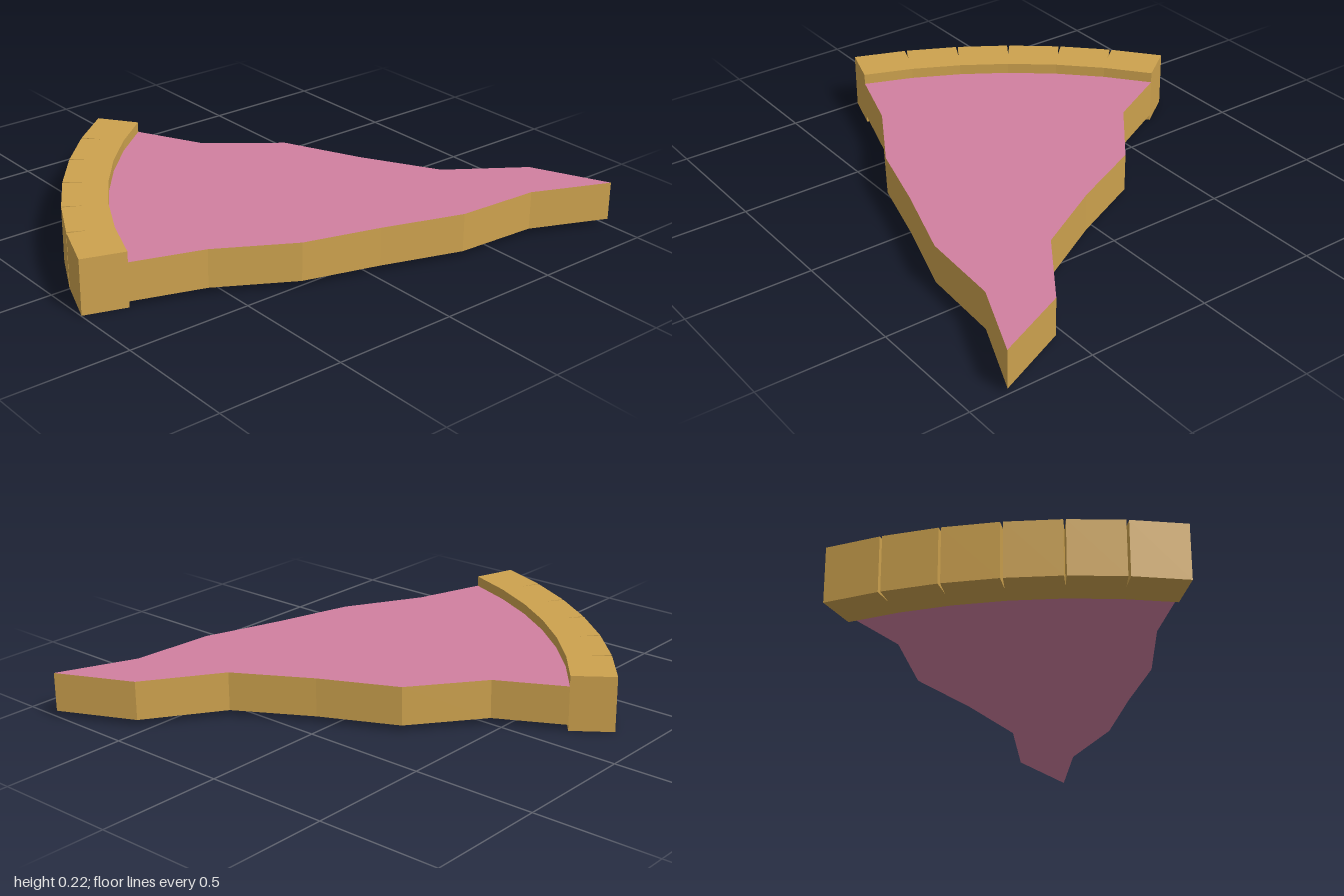
import * as THREE from 'three';

const APEX = { x: 0.85, z: -1 };
const INNER = 1.928, OUTER = 2.102, NOTCH = 2.02;
const START = 108.1, STEP = 5.98, SEGMENTS = 6;

// Point on an arc around the slice tip, as [x, z]
function polar(radius, degrees) {
  const a = THREE.MathUtils.degToRad(degrees);
  return [APEX.x + radius * Math.cos(a), APEX.z + radius * Math.sin(a)];
}

// Upright slab over an [x, z] outline between two heights
function slab(name, outline, bottom, top, material) {
  const shape = new THREE.Shape(outline.map(([x, z]) => new THREE.Vector2(x, -z)));
  const geometry = new THREE.ExtrudeGeometry(shape, { depth: top - bottom, bevelEnabled: false });
  geometry.rotateX(-Math.PI / 2).translate(0, bottom, 0);
  const mesh = new THREE.Mesh(geometry, material);
  mesh.name = name;
  return mesh;
}

export function createModel() {
  const filling = new THREE.MeshStandardMaterial({ color: 0xd17fa0 });
  filling.name = 'pink filling';
  const pastry = new THREE.MeshStandardMaterial({ color: 0xcda24e });
  pastry.name = 'golden pastry';

  const inner = [], rim = [];
  for (let i = 0; i <= SEGMENTS; i++) {
    const angle = START + i * STEP;
    inner.push(polar(INNER, angle));
    // Narrow wedge notches between the outer facets
    if (i === 0 || i === SEGMENTS) rim.push(polar(OUTER, angle));
    else rim.push(polar(OUTER, angle - 0.13), polar(NOTCH, angle), polar(OUTER, angle + 0.13));
  }

  // Wavy cut sides running between the tip and the crust
  const leftSide = [[0.85, -1], [0.72, -0.695], [0.7, -0.36], [0.595, -0.04], [0.51, 0.26], [0.342, 0.555]];
  const rightSide = [[-0.45, 0], [-0.24, -0.268], [0.06, -0.408], [0.353, -0.575], [0.55, -0.864]];

  const group = new THREE.Group();
  group.name = 'slice';
  group.add(
    slab('filling', [...leftSide, ...inner, ...rightSide], 0.024, 0.178, [filling, pastry]),
    slab('crust', [...rim, ...[...inner].reverse()], 0, 0.22, pastry),
  );
  return group;
}
